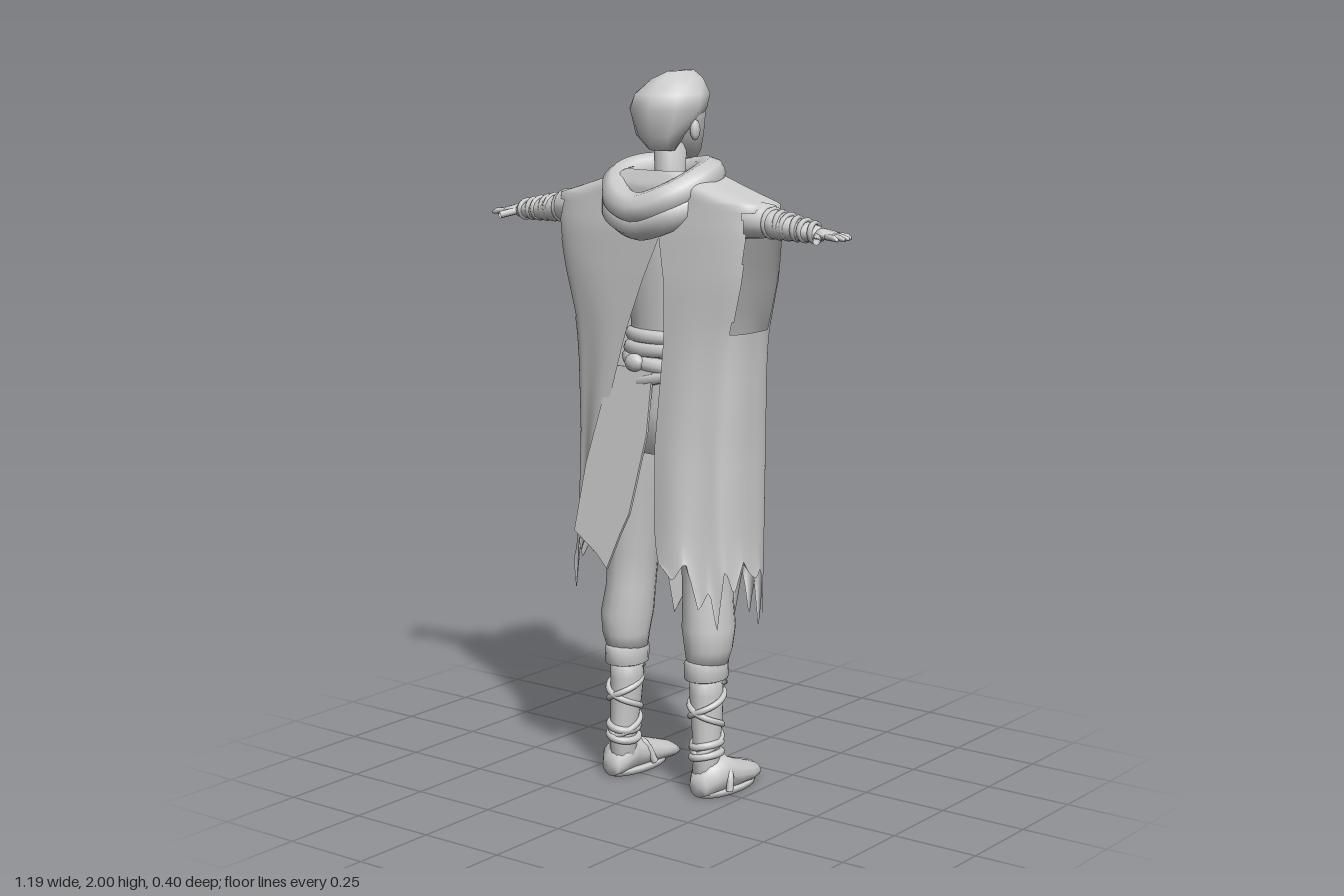
import * as THREE from 'three';

const mat = new THREE.MeshStandardMaterial({ color: 0xcccccc, side: THREE.DoubleSide });
const { lerp, clamp } = THREE.MathUtils;

function add(parent, name, geo) {
  const m = new THREE.Mesh(geo, mat);
  m.name = name;
  parent.add(m);
  return m;
}

function surface(pos, idx) {
  const g = new THREE.BufferGeometry();
  g.setAttribute('position', new THREE.Float32BufferAttribute(pos, 3));
  g.setIndex(idx);
  g.computeVertexNormals();
  return g;
}

// Closed skin over elliptical rings [cx, y, cz, rx, rz], listed bottom to top
function loft(rings, n = 14) {
  const pos = [], idx = [], k = rings.length;
  for (const [cx, y, cz, rx, rz] of rings)
    for (let j = 0; j < n; j++) {
      const a = (j / n) * Math.PI * 2;
      pos.push(cx + rx * Math.cos(a), y, cz + rz * Math.sin(a));
    }
  for (let i = 0; i < k - 1; i++)
    for (let j = 0; j < n; j++) {
      const a = i * n + j, b = i * n + ((j + 1) % n);
      idx.push(a, a + n, b, b, a + n, b + n);
    }
  const lo = rings[0], hi = rings[k - 1], c = k * n;
  pos.push(lo[0], lo[1], lo[2], hi[0], hi[1], hi[2]);
  for (let j = 0; j < n; j++) {
    const q = (j + 1) % n;
    idx.push(c, j, q, c + 1, (k - 1) * n + q, (k - 1) * n + j);
  }
  return surface(pos, idx);
}

const tube = (pts, r, closed = false, seg = 40) =>
  new THREE.TubeGeometry(new THREE.CatmullRomCurve3(pts.map((p) => new THREE.Vector3(...p)), closed), seg, r, 8, closed);

// Horizontal band around an ellipse, tilted sideways
function band(parent, name, y, z, rx, rz, r, tilt = 0) {
  const pts = [];
  for (let i = 0; i < 12; i++) {
    const a = (i / 12) * Math.PI * 2;
    pts.push([rx * Math.cos(a), y + tilt * Math.cos(a), z + rz * Math.sin(a)]);
  }
  return add(parent, name, tube(pts, r, true, 32));
}

// Thin torn cloth hanging from a pivot, tilted about x and turned about y
function flap(parent, name, pts, [x, y, z], tilt, turn) {
  const s = new THREE.Shape(pts.map((p) => new THREE.Vector2(...p)));
  const m = add(parent, name, new THREE.ExtrudeGeometry(s, { depth: 0.008, bevelEnabled: false }));
  m.position.set(x, y, z);
  m.rotation.set(tilt, turn, 0);
}

// Half of the poncho: rows are [y, width, +z depth, -z depth, +z inner edge, -z inner edge];
// hem lists heights from the +z inner edge round the side to the -z inner edge
function cloakHalf(side, rows, hem) {
  const cols = 64, R = 36, pos = [], idx = [], last = rows.length - 1;
  for (let i = 0; i <= R; i++) {
    const f = (i / R) * last, r = Math.min(Math.floor(f), last - 1);
    const [y0, w, dA, dB, eA, eB] = rows[r].map((v, q) => lerp(v, rows[r + 1][q], f - r));
    // Boxy at the sleeves, rounder below
    const p = lerp(0.66, 0.5, clamp((y0 - 1.2) / 0.3, 0, 1));
    const tA = Math.acos(Math.sign(eA) * (Math.abs(eA) / w) ** (1 / p));
    const tB = -Math.acos(Math.sign(eB) * (Math.abs(eB) / w) ** (1 / p));
    const low = clamp((1.0 - y0) / 0.35, 0, 1) ** 2;
    for (let j = 0; j <= cols; j++) {
      const u = j / cols, t = lerp(tA, tB, u), c = Math.cos(t), s = Math.sin(t);
      const h = u * (hem.length - 1), k = Math.min(Math.floor(h), hem.length - 2);
      const y = lerp(y0, lerp(hem[k], hem[k + 1], h - k), low);
      const fold = 1 + 0.05 * Math.sin(u * 24) * clamp((1.5 - y0) / 0.6, 0, 1);
      pos.push(side * w * Math.sign(c) * Math.abs(c) ** p, y, Math.sign(s) * Math.abs(s) ** p * (s > 0 ? dA : dB) * fold);
    }
  }
  const at = (a, k) => pos[a * 3 + k];
  for (let i = 0; i < R; i++)
    for (let j = 0; j < cols; j++) {
      const a = i * (cols + 1) + j, b = a + cols + 1;
      const y = (at(a, 1) + at(b, 1)) / 2, z = (at(a, 2) + at(b + 1, 2)) / 2;
      // Arm opening in the outer side
      if (y > 1.31 && y < 1.635 && z > -0.05 && z < 0.09 && Math.abs(at(a, 0)) > 0.25) continue;
      if (side > 0) idx.push(a, a + 1, b, a + 1, b + 1, b);
      else idx.push(a, b, a + 1, a + 1, b, b + 1);
    }
  return surface(pos, idx);
}

function makeArm() {
  const arm = new THREE.Group();
  const limb = (name, rings, n) => { add(arm, name, loft(rings, n)).rotation.z = -Math.PI / 2; };
  limb('upperArm', [[-1.61, 0.1, 0.01, 0.06, 0.07], [-1.62, 0.25, 0.02, 0.055, 0.06], [-1.62, 0.35, 0.025, 0.045, 0.05]]);
  limb('forearm', [[-1.62, 0.33, 0.025, 0.042, 0.045], [-1.61, 0.38, 0.025, 0.038, 0.046], [-1.6, 0.46, 0.025, 0.027, 0.034], [-1.595, 0.51, 0.025, 0.02, 0.028]]);
  // Cloth wrapping on the forearm
  for (let i = 0; i < 6; i++) {
    const r = 0.042 - i * 0.0028;
    const w = add(arm, 'armWrap', new THREE.TorusGeometry(r, 0.008, 6, 16));
    w.position.set(0.36 + i * 0.026, 1.615 - i * 0.003, 0.025);
    w.rotation.set(0, Math.PI / 2 + (i % 2 ? 0.12 : -0.1), 0);
    w.scale.y = 0.88;
  }
  limb('palm', [[-1.595, 0.5, 0.025, 0.016, 0.024], [-1.597, 0.525, 0.028, 0.015, 0.034], [-1.594, 0.555, 0.028, 0.01, 0.034]], 10);
  for (let f = 0; f < 4; f++) {
    const z = 0.002 + f * 0.017, end = [0.583, 0.592, 0.594, 0.586][f], spread = f - 1.5;
    limb('finger', [[-1.594, 0.545, z, 0.009, 0.009], [-1.592, 0.575, z + spread * 0.004, 0.008, 0.008], [-1.588, end, z + spread * 0.005, 0.005, 0.005]], 6);
  }
  add(arm, 'thumb', tube([[0.512, 1.594, 0.045], [0.528, 1.588, 0.07], [0.538, 1.584, 0.088]], 0.01, false, 6));
  return arm;
}

function makeLeg() {
  const leg = new THREE.Group();
  add(leg, 'trouserLeg', loft([[0.14, 0.37, 0.015, 0.055, 0.06], [0.145, 0.42, 0.015, 0.065, 0.072], [0.143, 0.48, 0.012, 0.073, 0.08],
    [0.135, 0.56, 0.005, 0.068, 0.077], [0.13, 0.66, 0, 0.07, 0.078], [0.115, 0.85, 0, 0.088, 0.09], [0.09, 1.02, 0, 0.095, 0.1], [0.07, 1.16, 0, 0.075, 0.095]], 16));
  add(leg, 'kneeCuff', loft([[0.14, 0.33, 0.018, 0.046, 0.056], [0.14, 0.335, 0.018, 0.057, 0.07], [0.14, 0.38, 0.018, 0.058, 0.072], [0.14, 0.388, 0.018, 0.05, 0.06]], 16));
  add(leg, 'shin', loft([[0.148, 0.04, 0.028, 0.038, 0.044], [0.147, 0.13, 0.026, 0.036, 0.042], [0.143, 0.22, 0.02, 0.042, 0.05], [0.14, 0.29, 0.018, 0.045, 0.053], [0.14, 0.35, 0.018, 0.045, 0.053]]));
  // Crossed lacing
  for (const dir of [1, -1]) {
    const pts = [];
    for (let i = 0; i <= 24; i++) {
      const a = Math.PI / 2 + dir * (i / 24) * Math.PI * 3.4, y = 0.12 + (i / 24) * 0.21, r = 0.037 + (y - 0.12) * 0.05;
      pts.push([0.144 + r * Math.cos(a), y, 0.023 + r * 1.17 * Math.sin(a)]);
    }
    add(leg, 'legLacing', tube(pts, 0.009, false, 60));
  }
  for (const [y, r] of [[0.115, 0.038], [0.145, 0.037]])
    band(leg, 'ankleStrap', y, 0.026, r, r * 1.2, 0.011, 0.008).position.x = 0.147;
  // Shoe runs from heel to toe
  add(leg, 'shoe', loft([[0.155, -0.076, 0.032, 0.03, 0.03], [0.157, -0.05, 0.048, 0.048, 0.047], [0.16, 0, 0.058, 0.052, 0.058], [0.161, 0.05, 0.046, 0.058, 0.046],
    [0.158, 0.11, 0.035, 0.06, 0.035], [0.148, 0.17, 0.025, 0.048, 0.025], [0.142, 0.205, 0.015, 0.024, 0.013]], 14)).rotation.x = -Math.PI / 2;
  add(leg, 'sole', loft([[0.158, 0, -0.05, 0.055, 0.12], [0.158, 0.016, -0.05, 0.058, 0.125]], 18));
  add(leg, 'shoeStrap', tube([[0.1, 0.02, -0.06], [0.125, 0.08, -0.04], [0.17, 0.095, -0.025], [0.21, 0.055, 0], [0.215, 0.015, 0.01]], 0.01, false, 16));
  return leg;
}

export function createModel() {
  const g = new THREE.Group();
  g.name = 'cloakedWanderer';

  // Head, hair and neck
  const head = new THREE.Group();
  head.name = 'head';
  add(head, 'neck', loft([[0, 1.62, 0.01, 0.065, 0.06], [0, 1.73, 0, 0.042, 0.045], [0, 1.83, 0, 0.045, 0.05]]));
  add(head, 'face', loft([[0, 1.762, -0.08, 0.022, 0.028], [0, 1.785, -0.055, 0.048, 0.058], [0, 1.83, -0.03, 0.07, 0.082], [0, 1.89, -0.015, 0.084, 0.096], [0, 1.95, -0.01, 0.076, 0.09]], 12));
  add(head, 'hair', loft([[0, 1.79, 0.035, 0.04, 0.03], [0, 1.83, 0.045, 0.072, 0.055], [-0.004, 1.9, 0.008, 0.106, 0.11], [0, 1.94, -0.006, 0.098, 0.115], [0.002, 1.98, -0.03, 0.055, 0.092], [0.002, 2.0, -0.045, 0.015, 0.055]], 9));
  for (const s of [1, -1]) {
    const ear = add(head, 'ear', new THREE.SphereGeometry(0.026, 8, 6));
    ear.scale.set(0.45, 1.1, 0.7);
    ear.position.set(s * 0.08, 1.845, -0.005);
  }
  add(head, 'nose', new THREE.ConeGeometry(0.013, 0.04, 5)).position.set(0, 1.85, -0.113);
  g.add(head);

  // Torso and sashes
  add(g, 'torso', loft([[0, 0.96, 0, 0.09, 0.085], [0, 1.08, 0, 0.145, 0.105], [0, 1.22, 0, 0.118, 0.09], [0, 1.32, 0, 0.118, 0.088], [0, 1.48, 0, 0.145, 0.1], [0, 1.6, 0, 0.15, 0.095], [0, 1.69, 0, 0.09, 0.07]], 20));
  for (const [y, rx, rz, r, t] of [[1.285, 0.113, 0.088, 0.02, 0], [1.25, 0.117, 0.09, 0.022, 0.005], [1.21, 0.122, 0.094, 0.022, -0.012], [1.17, 0.132, 0.1, 0.018, 0.035]])
    band(g, 'waistSash', y, 0, rx, rz, r, t);
  const knot = add(g, 'sashKnot', new THREE.SphereGeometry(0.028, 10, 8));
  knot.position.set(-0.04, 1.215, 0.11);
  knot.scale.set(1.1, 0.9, 0.7);
  add(g, 'hipPouch', loft([[-0.12, 0.86, -0.12, 0.04, 0.02], [-0.125, 0.89, -0.115, 0.08, 0.036], [-0.125, 1.0, -0.11, 0.07, 0.034], [-0.115, 1.08, -0.1, 0.046, 0.018]], 8));

  // Torn cloth hanging from the sash
  flap(g, 'tornTabard', [[-0.12, 0], [0.02, 0], [0.02, -0.18], [-0.015, -0.4], [-0.04, -0.46], [-0.075, -0.56], [-0.12, -0.52], [-0.2, -0.47], [-0.18, -0.28]], [0, 1.2, 0.1], -0.15, 0);
  flap(g, 'tornTail', [[-0.05, 0], [0.12, 0], [0.11, -0.5], [0.07, -0.66], [0.045, -0.6], [0.015, -0.73], [-0.005, -0.63], [-0.03, -0.68], [-0.06, -0.5]], [0, 1.16, -0.07], 0, 0.45);

  // Arms and legs, mirrored
  for (const s of [1, -1]) {
    const arm = makeArm(), leg = makeLeg();
    arm.name = s > 0 ? 'leftArm' : 'rightArm';
    leg.name = s > 0 ? 'leftLeg' : 'rightLeg';
    arm.scale.x = leg.scale.x = s;
    g.add(arm, leg);
  }

  // Split poncho with ragged hems
  add(g, 'leftCloak', cloakHalf(1, [
    [1.74, 0.1, 0.09, 0.08, 0, 0], [1.7, 0.21, 0.11, 0.09, 0, 0], [1.66, 0.342, 0.11, 0.078, 0.01, 0.01], [1.58, 0.346, 0.12, 0.088, 0.05, 0.03],
    [1.45, 0.325, 0.13, 0.115, 0.075, 0.06], [1.3, 0.288, 0.135, 0.14, 0.08, 0.07], [1.0, 0.275, 0.15, 0.16, 0.06, 0.02], [0.8, 0.275, 0.165, 0.15, 0.07, 0], [0.65, 0.285, 0.18, 0.115, 0.1, 0]],
  [0.68, 0.64, 0.7, 0.56, 0.62, 0.5, 0.68, 0.6, 0.69, 0.63, 0.66, 0.52, 0.58, 0.47, 0.6, 0.49, 0.62, 0.44, 0.56, 0.52]));
  add(g, 'rightCloak', cloakHalf(-1, [
    [1.74, 0.1, 0.09, 0.08, 0, 0], [1.7, 0.21, 0.11, 0.09, 0, 0], [1.66, 0.342, 0.11, 0.078, -0.03, 0.01], [1.58, 0.346, 0.12, 0.085, -0.06, 0.05],
    [1.45, 0.325, 0.122, 0.09, 0.0, 0.13], [1.3, 0.29, 0.122, 0.085, 0.06, 0.18], [1.0, 0.277, 0.125, 0.075, 0.15, 0.22], [0.8, 0.282, 0.13, 0.07, 0.19, 0.24], [0.65, 0.3, 0.135, 0.065, 0.2, 0.26]],
  [0.72, 0.66, 0.7, 0.54, 0.64, 0.56, 0.7, 0.61, 0.68, 0.62, 0.72, 0.64, 0.7]));

  // Draped cowl around the neck, hanging lower at +z
  add(g, 'cowlUpper', tube([[0, 1.72, -0.075], [0.1, 1.73, -0.045], [0.13, 1.715, 0.035], [0.085, 1.67, 0.12], [0, 1.64, 0.15], [-0.085, 1.665, 0.12], [-0.137, 1.71, 0.035], [-0.1, 1.73, -0.045]], 0.044, true, 48));
  add(g, 'cowlLower', tube([[0, 1.67, -0.07], [0.11, 1.68, -0.04], [0.13, 1.66, 0.04], [0.08, 1.625, 0.115], [0, 1.6, 0.13], [-0.08, 1.62, 0.115], [-0.14, 1.66, 0.04], [-0.11, 1.68, -0.04]], 0.046, true, 48));

  // Cloak clasp
  const clasp = add(g, 'claspToggle', new THREE.CapsuleGeometry(0.014, 0.05, 4, 8));
  clasp.position.set(0.07, 1.6, 0.135);
  clasp.rotation.z = -0.8;
  return g;
}
